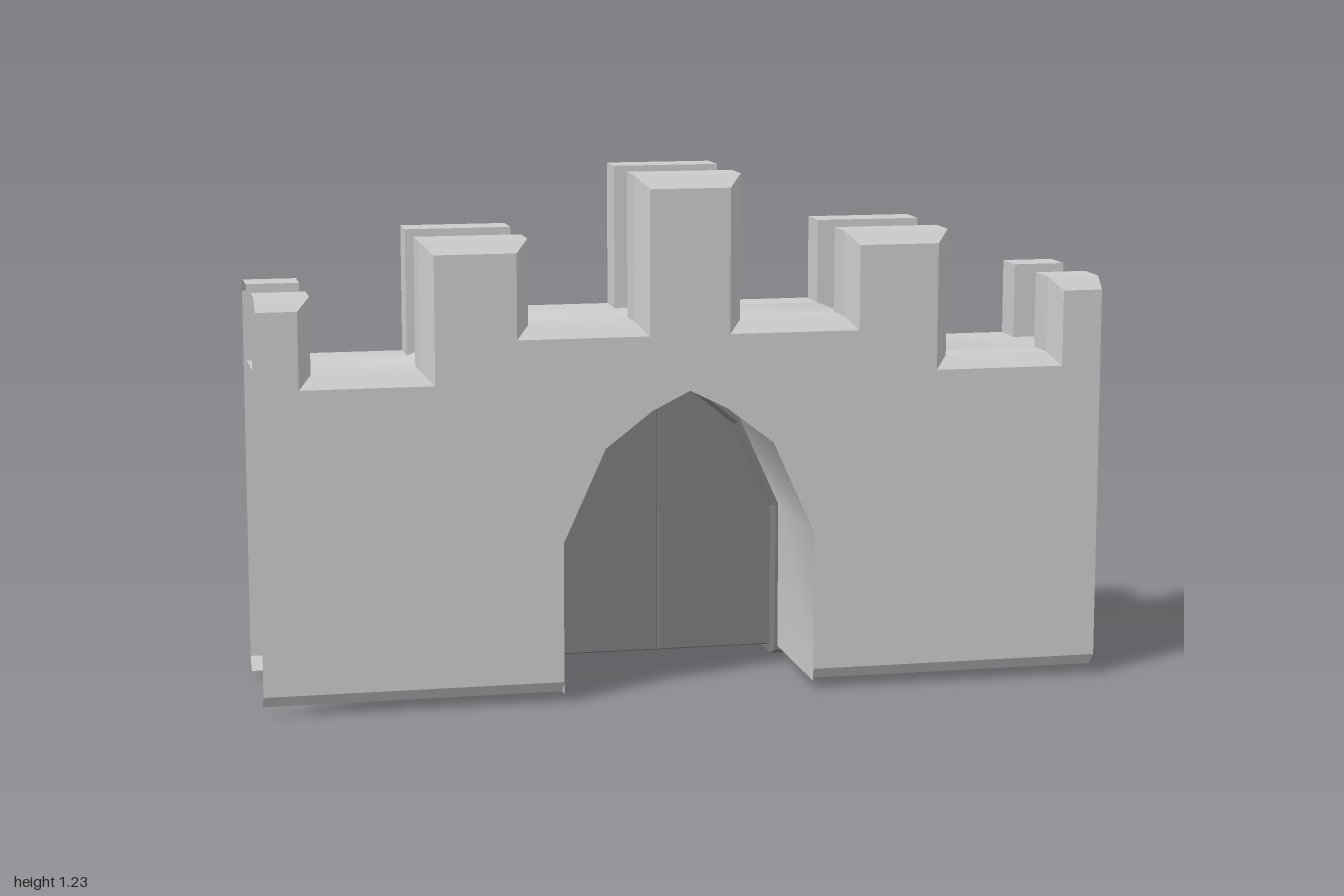
import * as THREE from 'three';
import { toCreasedNormals } from 'three/addons/utils/BufferGeometryUtils.js';

const stone = new THREE.MeshStandardMaterial({ color: 0xcccccc, side: THREE.DoubleSide });
const dark = new THREE.MeshStandardMaterial({ color: 0x7d7d7d });

const CHAMFER = 0.03, MERLON = 0.12;
const FRONT = 0.275, BACK = -0.125;

// Mirrors a right-half outline (outside to middle) into a full one
const mirror = (pts) => [...pts, ...pts.slice().reverse().map(([x, y]) => [-x, y])]
  .filter(([x, y], i, a) => i === 0 || x !== a[i - 1][0] || y !== a[i - 1][1]);

const battlement = mirror([[1, 0.97], [0.875, 0.97], [0.875, 0.79], [0.625, 0.79], [0.625, 1.09],
  [0.375, 1.09], [0.375, 0.89], [0.125, 0.89], [0.125, 1.23]]);
const walkway = mirror([[1, 0.79], [0.625, 0.79], [0.375, 0.89]]);
const archTop = [[0.3, 0.38], [0.2, 0.6], [0.09, 0.685], [0, 0.73]];

// Chamfered outline: lower by the chamfer and narrower towards each merlon's centre
const inset = battlement.map(([x, y]) => {
  const centre = Math.round(x * 2) / 2;
  return [x - Math.sign(x - centre) * CHAMFER, y - CHAMFER];
});

function add(parent, name, geometry, material) {
  const mesh = new THREE.Mesh(geometry, material);
  mesh.name = name;
  parent.add(mesh);
  return mesh;
}

const makeShape = (pts) => new THREE.Shape(pts.map(([x, y]) => new THREE.Vector2(x, y)));

// Ribbon of quads between two outlines, each at its own z
function ribbon(a, za, b, zb) {
  const pos = [];
  for (let i = 0; i < a.length - 1; i++) {
    const p = [...a[i], za], q = [...a[i + 1], za], r = [...b[i + 1], zb], s = [...b[i], zb];
    pos.push(...p, ...q, ...r, ...p, ...r, ...s);
  }
  const g = new THREE.BufferGeometry();
  g.setAttribute('position', new THREE.Float32BufferAttribute(pos, 3));
  return toCreasedNormals(g, 0.6);
}

// Extruded shape with chamfered edges that stays inside its outline
function chamfered(pts, zMin, zMax, c) {
  const g = new THREE.ExtrudeGeometry(makeShape(pts), {
    depth: zMax - zMin - 2 * c, bevelEnabled: true, bevelSegments: 1,
    bevelSize: c, bevelThickness: c, bevelOffset: -c,
  });
  g.translate(0, 0, zMin + c);
  return g;
}

// One face of the gatehouse with its battlements; dir is the way it faces
function makeWall(name, face, dir) {
  const wall = new THREE.Group();
  wall.name = name;
  const z = (depth) => face - dir * depth;
  const arch = mirror([[0.3, 0.05], ...archTop]).reverse();
  const outline = [[1, 0.05], ...inset, [-1, 0.05], ...arch];
  const sheet = new THREE.ShapeGeometry(makeShape(outline));
  sheet.translate(0, 0, face);
  add(wall, 'wallFace', sheet, stone);
  add(wall, 'battlementChamfer', ribbon(inset, face, battlement, z(CHAMFER)), stone);
  add(wall, 'battlementTops', ribbon(battlement, z(CHAMFER), battlement, z(MERLON)), stone);

  // Inner faces of the merlons, from walkway to top
  const merlons = [
    [[[1, 0.97], [0.875, 0.97]], [[1, 0.79], [0.875, 0.79]]],
    [[[0.625, 1.09], [0.375, 1.09]], [[0.625, 0.79], [0.375, 0.89]]],
    [[[0.125, 1.23], [0, 1.23]], [[0.125, 0.89], [0, 0.89]]],
  ];
  for (const side of [1, -1]) {
    const flip = (pts) => pts.map(([x, y]) => [x * side, y]);
    for (const [top, base] of merlons) {
      add(wall, 'merlonInnerFace', ribbon(flip(top), z(MERLON), flip(base), z(MERLON)), stone);
    }
    // Sloped foot of the wall beside the gateway
    add(wall, 'wallFoot', ribbon(flip([[0.3, 0.05], [1, 0.05]]), face,
      flip([[0.3, 0.02], [1, 0.02]]), z(CHAMFER)), stone);
  }
  return wall;
}

export function createModel() {
  const model = new THREE.Group();
  model.name = 'castleGate';

  model.add(makeWall('frontWall', FRONT, 1), makeWall('backWall', BACK, -1));

  // Walkway between the battlements
  add(model, 'walkway', ribbon(walkway, FRONT - MERLON, walkway, BACK + MERLON), stone);

  // Arched passage
  const passage = mirror([[0.3, 0.02], ...archTop]);
  add(model, 'passage', ribbon(passage, FRONT, passage, -0.08), stone);

  // Door frame standing proud of the back wall
  const outer = mirror([[0.375, 0], [0.375, 0.4], [0.26, 0.66], [0.12, 0.765], [0, 0.8]]);
  const inner = mirror([[0.283, 0], [0.283, 0.375], [0.188, 0.583], [0.085, 0.667], [0, 0.71]]);
  add(model, 'doorFrame', chamfered([...outer, ...inner.reverse()], -0.195, -0.08, 0.01), dark);

  // Pair of door leaves
  const leaf = [[0, 0.02], [0.287, 0.02], [0.287, 0.376], [0.191, 0.587], [0.086, 0.67], [0, 0.713]];
  for (const side of [1, -1]) {
    add(model, side > 0 ? 'leftDoor' : 'rightDoor',
      chamfered(leaf.map(([x, y]) => [x * side, y]), -0.15, -0.1, 0.003), dark);
  }

  // Tilted plank behind the door
  const w = 0.3825, h = 0.1175;
  const plank = add(model, 'plank',
    chamfered([[-w, -h], [w, -h], [w, h], [-w, h]], -0.035, 0.035, 0.012), dark);
  plank.position.set(0, 0.3375, -0.24);
  plank.rotation.z = -0.262;

  return model;
}
